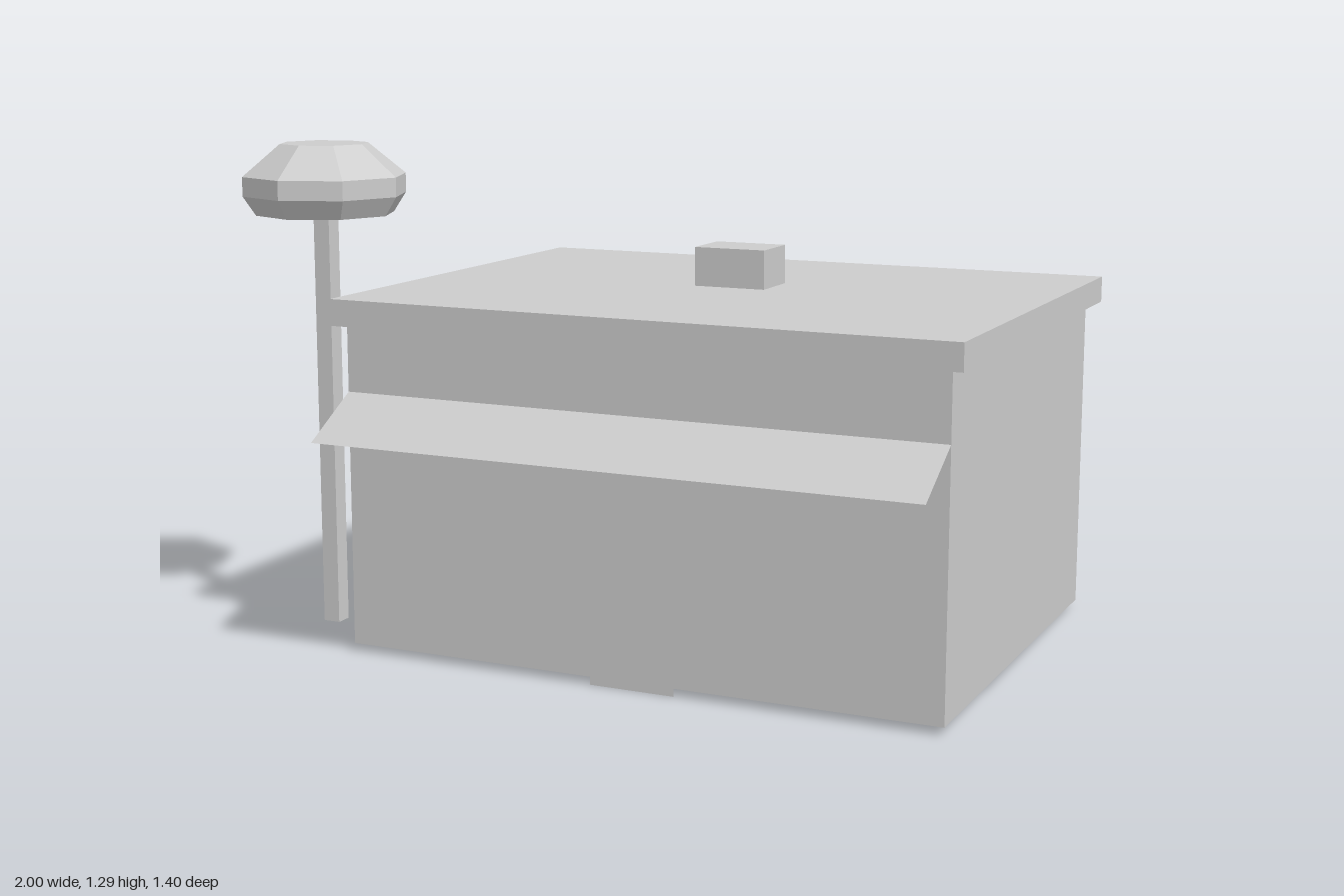
import * as THREE from 'three';

const grey = new THREE.MeshStandardMaterial({ color: 0xcccccc, flatShading: true, side: THREE.DoubleSide });
grey.name = 'plain grey';

export function createModel() {
  const group = new THREE.Group();
  group.name = 'kiosk';

  const add = (name, geometry, x, y, z) => {
    const mesh = new THREE.Mesh(geometry, grey);
    mesh.name = name;
    mesh.position.set(x, y, z);
    group.add(mesh);
    return mesh;
  };

  // Boxes are given by their extents on each axis
  const place = (name, geometry, [x0, x1], [y0, y1], [z0, z1]) => {
    geometry.scale(x1 - x0, y1 - y0, z1 - z0);
    return add(name, geometry, (x0 + x1) / 2, (y0 + y1) / 2, (z0 + z1) / 2);
  };
  const box = () => new THREE.BoxGeometry(1, 1, 1);
  // Four thin walls, open above and below
  const shell = () => new THREE.CylinderGeometry(Math.SQRT1_2, Math.SQRT1_2, 1, 4, 1, true, Math.PI / 4);

  // Building
  place('walls', shell(), [-0.62, 0.965], [0.02, 0.85], [-0.665, 0.525]);
  place('roof', box(), [-0.652, 0.998], [0.85, 0.918], [-0.702, 0.552]);
  place('chimney', box(), [0.075, 0.27], [0.918, 1.02], [-0.213, -0.067]);

  // Door panel, reaching just below the walls
  add('door', new THREE.PlaneGeometry(0.225, 0.45), 0.172, 0.225, 0.526);

  // Sloping awning sheet across the front
  const drop = 0.1, reach = 0.175;
  const awning = add('awning', new THREE.PlaneGeometry(1.585, Math.hypot(drop, reach)),
    0.1725, 0.63, 0.525 + reach / 2);
  awning.rotation.x = -Math.atan2(reach, drop);

  // Side windows: a frame plate with a smaller pane on top
  for (const side of [-1, 1]) {
    const wallX = side > 0 ? 0.965 : -0.62;
    const label = side > 0 ? 'left' : 'right';
    const frame = add(label + 'WindowFrame', new THREE.PlaneGeometry(0.63, 0.328), wallX + side * 0.002, 0.434, -0.074);
    const pane = add(label + 'WindowPane', new THREE.PlaneGeometry(0.595, 0.298), wallX + side * 0.004, 0.434, -0.074);
    frame.rotation.y = pane.rotation.y = side * Math.PI / 2;
  }

  // Lamp post with an eight-sided head
  const lampX = -0.786, lampZ = 0.356;
  place('lampPost', shell(), [lampX - 0.023, lampX + 0.023], [0.02, 1.11], [lampZ - 0.023, lampZ + 0.023]);
  const profile = [[0, 1.11], [0.181, 1.11], [0.214, 1.16], [0.214, 1.21], [0.115, 1.292], [0, 1.292]]
    .map(([r, y]) => new THREE.Vector2(r, y));
  add('lampHead', new THREE.LatheGeometry(profile, 8), lampX, 0, lampZ);

  return group;
}
